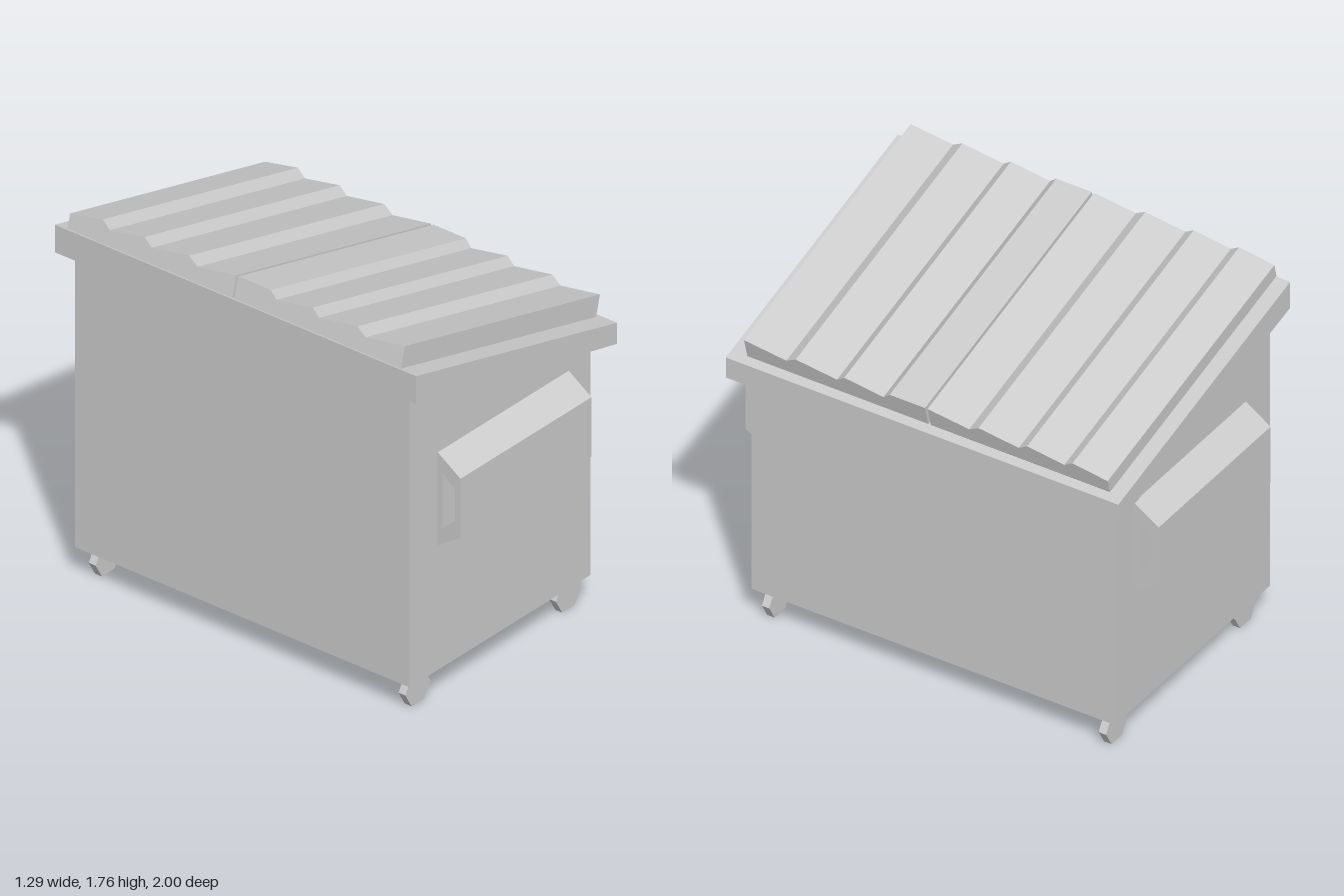
import * as THREE from 'three';

const material = new THREE.MeshStandardMaterial({ color: 0xcccccc, flatShading: true, side: THREE.DoubleSide });

function addMesh(parent, name, geometry) {
  const mesh = new THREE.Mesh(geometry, material);
  mesh.name = name;
  parent.add(mesh);
  return mesh;
}

const points = (list) => list.map(([x, y]) => new THREE.Vector2(x, y));
const rectangle = (x0, x1, z) => points([[x0, -z], [x1, -z], [x1, z], [x0, z]]);

// Rectangular frame around the bin opening; bottom and top heights depend on x
function frame(x0, x1, z, bottom, top) {
  const shape = new THREE.Shape(rectangle(x0, x1, z));
  shape.holes.push(new THREE.Path(rectangle(-0.54, 0.49, 0.83)));
  const geometry = new THREE.ExtrudeGeometry(shape, { depth: 1, bevelEnabled: false });
  geometry.rotateX(-Math.PI / 2);
  const p = geometry.attributes.position;
  for (let i = 0; i < p.count; i++) {
    p.setY(i, p.getY(i) > 0.5 ? top(p.getX(i)) : bottom(p.getX(i)));
  }
  geometry.computeVertexNormals();
  return geometry;
}

// Corrugated lid: each rib is [z of crest, z of trough], running down the slope
function lidGeometry(ribs, flatEnd) {
  const crest = 0.098, trough = 0.067;
  const outline = [];
  ribs.forEach(([high, low]) => outline.push([high, crest], [low, trough]));
  if (flatEnd) outline.push(...flatEnd.map((z) => [z, crest]));
  const first = outline[0][0], last = outline[outline.length - 1][0];
  const shape = new THREE.Shape(points([...outline, [last, 0], [first, 0]]));
  const geometry = new THREE.ExtrudeGeometry(shape, { depth: 1.293, bevelEnabled: false });
  const c = 0.967, s = 0.255;
  const placement = new THREE.Matrix4().makeBasis(
    new THREE.Vector3(0, 0, 1), new THREE.Vector3(s, c, 0), new THREE.Vector3(-c, s, 0));
  placement.setPosition(0.607, 1.335, 0);
  return geometry.applyMatrix4(placement);
}

export function createModel() {
  const model = new THREE.Group();
  model.name = 'wasteContainer';

  // Sloping heights of the rim's underside and top
  const rimBottom = (x) => 1.375 - 0.24 * x;
  const rimTop = (x) => 1.49 - 0.2636 * x;

  // Hollow body with floor and overhanging rim
  addMesh(model, 'bodyWalls', frame(-0.6, 0.56, 0.88, () => 0.14, (x) => rimBottom(x) + 0.03));
  addMesh(model, 'floor', new THREE.BoxGeometry(1.1, 0.04, 1.7)).position.set(-0.02, 0.161, 0);
  addMesh(model, 'rim', frame(-0.645, 0.645, 0.95, rimBottom, rimTop));

  // Two lids with a narrow seam between them
  addMesh(model, 'leftLid', lidGeometry(
    [[0.87, 0.67], [0.62, 0.425], [0.385, 0.2]], [0.165, -0.006]));
  addMesh(model, 'rightLid', lidGeometry(
    [[-0.018, -0.215], [-0.265, -0.455], [-0.5, -0.675], [-0.72, -0.885]]));

  // Fork pockets on the front and back walls
  const pocket = new THREE.Shape(points([[-0.88, 0.73], [-1, 0.81], [-1, 1.09], [-0.88, 1.17]]));
  pocket.holes.push(new THREE.Path(points([[-0.905, 0.82], [-0.97, 0.87], [-0.97, 1.03], [-0.905, 1.08]])));
  for (const side of [1, -1]) {
    const geometry = new THREE.ExtrudeGeometry(pocket, { depth: 0.84, bevelEnabled: false });
    geometry.translate(0, 0, -0.42).rotateY(side * Math.PI / 2);
    addMesh(model, side > 0 ? 'frontForkPocket' : 'backForkPocket', geometry);
  }

  // Six-sided wheels under the corners
  for (const x of [-0.49, 0.475]) {
    for (const z of [-0.815, 0.815]) {
      const geometry = new THREE.CylinderGeometry(0.08, 0.08, 0.036, 6);
      geometry.rotateX(Math.PI / 2).rotateZ(Math.PI / 6);
      addMesh(model, 'wheel', geometry).position.set(x, 0.07, z);
    }
  }

  return model;
}
